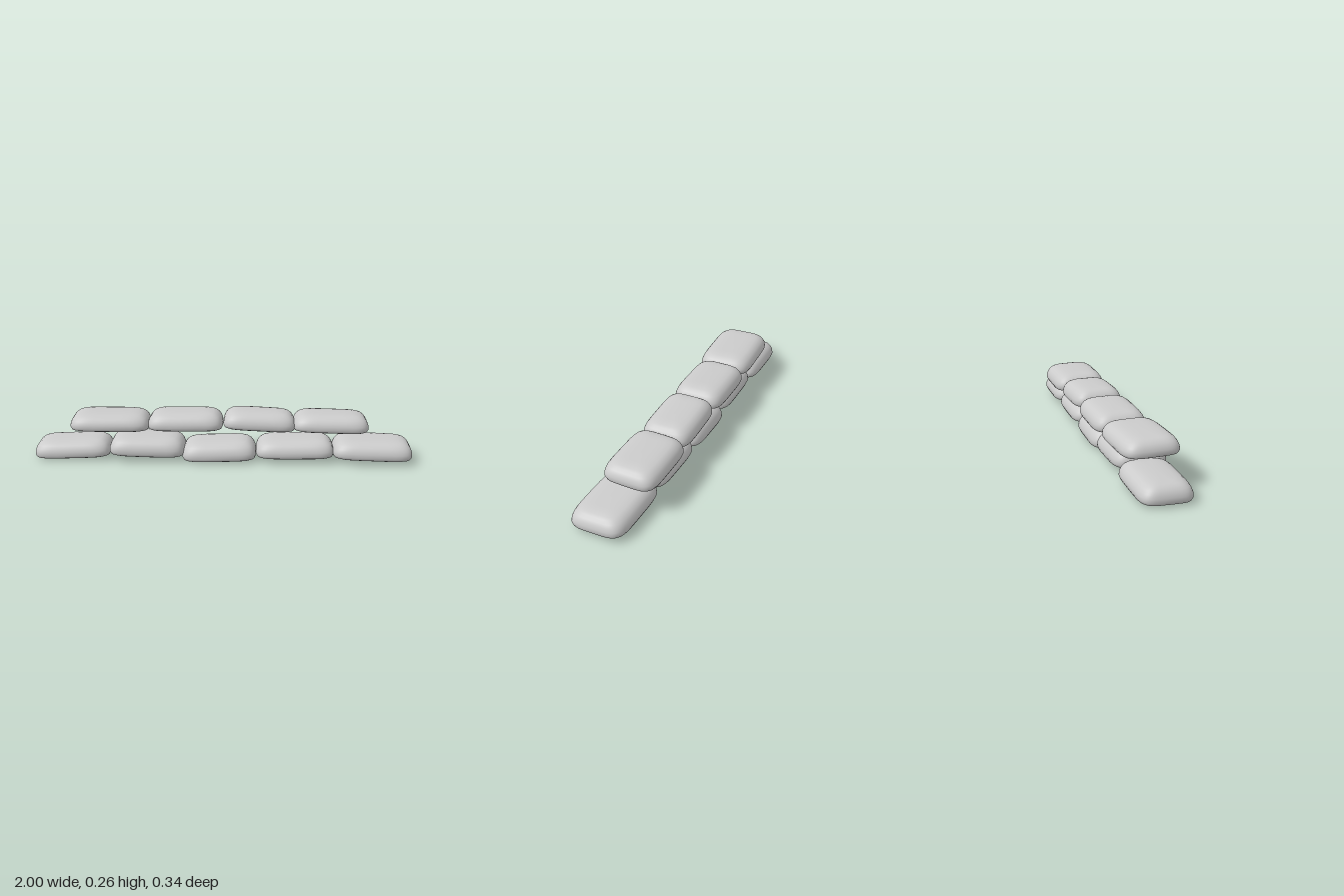
import * as THREE from 'three';

const material = new THREE.MeshStandardMaterial({ color: 0xcccccc });
const SEGMENTS = 56;

// Bag profile from base to crown: [height fraction, inset from the widest outline]
const PROFILE = [
  [0, 0.035], [0.015, 0.02], [0.08, 0.006], [0.22, 0], [0.42, 0.002], [0.6, 0.009],
  [0.75, 0.019], [0.87, 0.034], [0.94, 0.05], [0.985, 0.075], [1, 0.105],
];

const spow = (v, e) => Math.sign(v) * Math.abs(v) ** e;

// Pillow with a flat base and a rounded crown, stacked from squarish rings
function bagGeometry(length, height, depth) {
  const positions = [];
  const index = [];
  for (const [h, inset] of PROFILE) {
    for (let i = 0; i < SEGMENTS; i++) {
      const a = (i / SEGMENTS) * Math.PI * 2;
      positions.push(
        spow(Math.cos(a), 0.42) * (length / 2 - inset),
        h * height,
        spow(Math.sin(a), 0.42) * (depth / 2 - inset),
      );
    }
  }
  for (let r = 0; r < PROFILE.length - 1; r++) {
    for (let i = 0; i < SEGMENTS; i++) {
      const j = (i + 1) % SEGMENTS;
      const a = r * SEGMENTS + i, b = r * SEGMENTS + j;
      index.push(a, a + SEGMENTS, b, b, a + SEGMENTS, b + SEGMENTS);
    }
  }
  // Base and crown caps
  const base = positions.length / 3;
  const top = (PROFILE.length - 1) * SEGMENTS;
  positions.push(0, 0, 0, 0, height * 1.01, 0);
  for (let i = 0; i < SEGMENTS; i++) {
    const j = (i + 1) % SEGMENTS;
    index.push(base, i, j, base + 1, top + j, top + i);
  }
  const geometry = new THREE.BufferGeometry();
  geometry.setAttribute('position', new THREE.Float32BufferAttribute(positions, 3));
  geometry.setIndex(index);
  geometry.computeVertexNormals();
  return geometry;
}

// Each bag: x range, base height, z range, height, then roll (x), yaw (y), tilt (z)
const LOWER = [
  { x: [-1, -0.595], y: 0.016, z: [-0.135, 0.132], h: 0.093, r: [0.02, 0.02, 0.03] },
  { x: [-0.6, -0.2], y: 0.032, z: [-0.13, 0.15], h: 0.099, r: [0.02, 0, -0.025] },
  { x: [-0.212, 0.18], y: 0.009, z: [-0.13, 0.152], h: 0.1, r: [0.01, 0, 0.03] },
  { x: [0.178, 0.59], y: 0.027, z: [-0.13, 0.15], h: 0.094, r: [0.01, -0.01, 0.015] },
  { x: [0.582, 1], y: 0.027, z: [-0.13, 0.165], h: 0.094, r: [0.02, -0.03, -0.02] },
];
const UPPER = [
  { x: [-0.808, -0.388], y: 0.161, z: [-0.155, 0.137], h: 0.088, r: [-0.01, 0.04, -0.01] },
  { x: [-0.398, 0.002], y: 0.158, z: [-0.167, 0.11], h: 0.094, r: [-0.02, 0, 0.005] },
  { x: [0.002, 0.385], y: 0.161, z: [-0.163, 0.104], h: 0.094, r: [-0.02, 0, -0.045] },
  { x: [0.373, 0.772], y: 0.154, z: [-0.172, 0.113], h: 0.092, r: [-0.03, -0.02, -0.02] },
];

function course(name, bags) {
  const row = new THREE.Group();
  row.name = name;
  bags.forEach(({ x, y, z, h, r }, i) => {
    const bag = new THREE.Mesh(bagGeometry(x[1] - x[0], h, z[1] - z[0]), material);
    bag.name = `${name}Sandbag${i + 1}`;
    bag.position.set((x[0] + x[1]) / 2, y, (z[0] + z[1]) / 2);
    bag.rotation.set(...r);
    row.add(bag);
  });
  return row;
}

export function createModel() {
  const wall = new THREE.Group();
  wall.name = 'sandbagWall';
  wall.add(course('lowerRow', LOWER), course('upperRow', UPPER));
  return wall;
}
